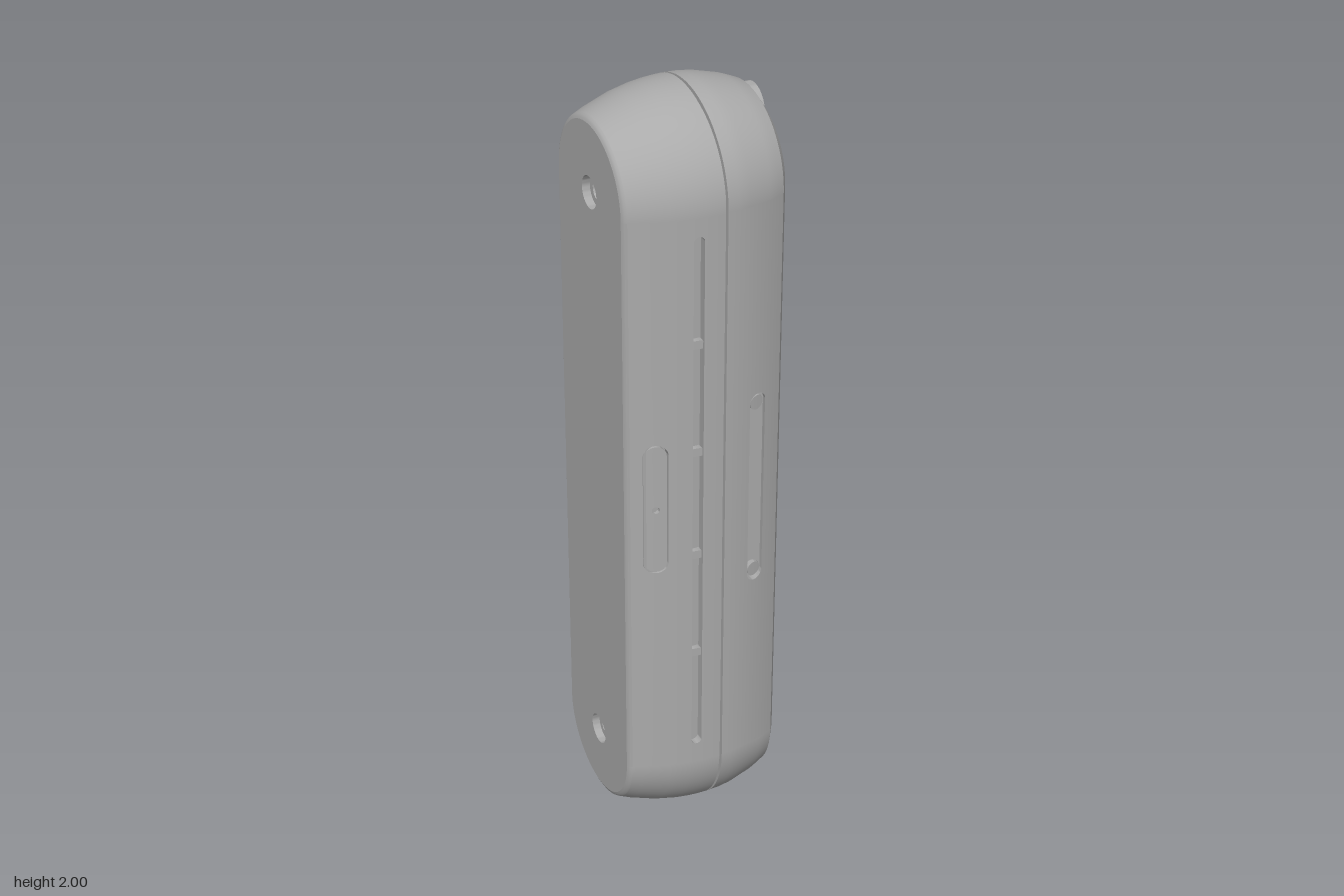
import * as THREE from 'three';
import { mergeGeometries, toCreasedNormals } from 'three/addons/utils/BufferGeometryUtils.js';

const Y0 = 0.234, Y1 = 1.766; // centres of the rounded ends
const FRONT = 0, BACK = Math.PI, LEFT = -Math.PI / 2, RIGHT = Math.PI / 2; // rotation.y turning local +z to each side; -x end is LEFT here

// Half thickness of the body at a given x
function radius(x) {
  if (x < -0.2) return 0.1832 - 0.013 * ((-0.2 - x) / 0.01) ** 2;
  if (x < 0.0235) return 0.234 - 1.05 * (0.02 - x) ** 2;
  const r = (t) => 0.234 - 1.5 * (t - 0.027) ** 2;
  return x <= 0.187 ? r(x) : r(0.187) - (x - 0.187) * 1.55;
}

// Counter-clockwise rounded rectangle; also makes pills and circles
function rr(cx, cy, w, h, r = Math.min(w, h) / 2, n = 10) {
  const pts = [];
  [[1, 1], [-1, 1], [-1, -1], [1, -1]].forEach(([sx, sy], q) => {
    for (let i = 0; i <= n; i++) {
      const a = (q + i / n) * Math.PI / 2;
      pts.push(new THREE.Vector2(cx + sx * (w / 2 - r) + r * Math.cos(a), cy + sy * (h / 2 - r) + r * Math.sin(a)));
    }
  });
  return pts.filter((p, i) => p.distanceTo(pts[(i + 1) % pts.length]) > 1e-6);
}
const circle = (cx, cy, r) => rr(cx, cy, 2 * r, 2 * r, r);
const stadium = (r) => rr(0, 1, 2 * r, Y1 - Y0 + 2 * r, r, 24);
const rect = (u0, u1) => [[u0, Y0], [u1, Y0], [u1, Y1], [u0, Y1]].map(([x, y]) => new THREE.Vector2(x, y));

// Wall between two matching outlines at depths given by functions of u
function loft(ptsA, fa, ptsB, fb) {
  const v = [];
  ptsA.forEach((a, i) => {
    const j = (i + 1) % ptsA.length, b = ptsA[j], c = ptsB[i], d = ptsB[j];
    const A = [a.x, a.y, fa(a.x)], B = [b.x, b.y, fa(b.x)], C = [c.x, c.y, fb(c.x)], D = [d.x, d.y, fb(d.x)];
    v.push(...A, ...B, ...D, ...A, ...D, ...C);
  });
  const g = new THREE.BufferGeometry();
  g.setAttribute('position', new THREE.Float32BufferAttribute(v, 3));
  return toCreasedNormals(g, 0.6);
}

// Face following depth f(u), with recessed pockets that may hold further pockets
function plate(pts, f, pockets = []) {
  const shape = new THREE.Shape(pts);
  shape.holes = pockets.map((p) => new THREE.Path(p.pts));
  const g = new THREE.ShapeGeometry(shape).toNonIndexed();
  g.deleteAttribute('uv');
  const us = pts.map((p) => p.x), u0 = Math.min(...us), u1 = Math.max(...us);
  const pos = g.attributes.position, nor = g.attributes.normal, n = new THREE.Vector3();
  for (let i = 0; i < pos.count; i++) {
    const u = pos.getX(i), a = Math.max(u0, u - 1e-3), b = Math.min(u1, u + 1e-3);
    pos.setZ(i, f(u));
    n.set(-(f(b) - f(a)) / (b - a), 0, 1).normalize();
    nor.setXYZ(i, n.x, n.y, n.z);
  }
  const out = [g];
  for (const p of pockets) {
    const w = f((Math.min(...p.pts.map((q) => q.x)) + Math.max(...p.pts.map((q) => q.x))) / 2) - p.depth;
    out.push(loft(p.pts, f, p.pts, () => w), ...plate(p.pts, () => w, p.inner));
  }
  return out;
}

// Raised solid from depth w0 up to surface f
const solid = (pts, w0, f, pockets) => [loft(pts, () => w0, pts, f), ...plate(pts, f, pockets)];

// Straight wall made of narrow strips; each pocket lies in one strip
function wall(edges, f, pockets = []) {
  return edges.slice(1).flatMap((b, i) => plate(rect(edges[i], b), f,
    pockets.filter((p) => p.pts[0].x > edges[i] && p.pts[0].x < b)));
}

// Half-round end caps, top and bottom
function ends(edges, f) {
  const profile = edges.map((x) => new THREE.Vector2(f(x), x));
  return [[0, Y0], [Math.PI, Y1]].map(([start, y]) => {
    const g = new THREE.LatheGeometry(profile, 36, start, Math.PI).toNonIndexed();
    g.deleteAttribute('uv');
    return g.rotateZ(-Math.PI / 2).translate(0, y, 0);
  });
}

export function createModel() {
  const root = new THREE.Group();
  root.name = 'handheldDevice';
  const grey = new THREE.MeshStandardMaterial({ color: 0xaaaaaa });
  grey.name = 'grey';
  const add = (name, geos, rot = FRONT) => {
    const m = new THREE.Mesh(mergeGeometries(geos), grey);
    m.name = name;
    m.rotation.y = rot;
    root.add(m);
  };
  const back = (u) => radius(-u);
  const mirror = (e) => e.map((x) => -x).reverse();

  // Shell ends and walls
  const rim = [-0.21, -0.208, -0.205, -0.2];
  const left = [-0.2, -0.175, -0.11, -0.06, -0.025, 0, 0.02];
  const right = [0.027, 0.055, 0.085, 0.145, 0.17, 0.187];
  const chamfer = [0.187, 0.208], seam = [0.02, 0.027];
  const pill = rr(-0.143, 1.005, 0.058, 0.36);
  const frontPockets = [
    { pts: pill, depth: 0.008 },
    { pts: rr(-0.043, 1.005, 0.026, 1.43), depth: 0.02 },
    { pts: rr(0.117, 1.005, 0.046, 0.53), depth: 0.018 },
  ];
  const screwHoles = [0.36, 1.655].map((y) => ({
    pts: circle(-0.104, y, 0.018), depth: 0.012, inner: [{ pts: circle(-0.104, y, 0.011), depth: 0.02 }],
  }));
  const core = () => 0.222;
  for (const [name, e] of [['leftRim', rim], ['leftShell', left], ['rightShell', right], ['rightChamfer', chamfer]]) {
    add(name + 'Ends', ends(e, radius));
    add(name + 'Front', wall(e, radius, frontPockets));
    if (e !== left) add(name + 'Back', wall(mirror(e), back, e === right ? screwHoles : []));
  }
  add('leftShellBack', [...wall([0.16, 0.18, 0.2], back), ...wall([-0.02, -0.011], back)], BACK);
  for (const m of root.children) if (m.name.endsWith('Back')) m.rotation.y = BACK;

  // Seam groove around the middle
  add('seamEnds', ends(seam, core));
  add('seamFront', wall(seam, core));
  add('seamBack', wall(mirror(seam), core), BACK);
  add('seamLeftWall', plate(stadium(0.234), () => 0.02), RIGHT);
  add('seamRightWall', plate(stadium(0.234), () => -0.027), LEFT);

  // Flat side with two mounting holes
  add('sideFace', plate(stadium(radius(-0.21)), () => 0.21, [Y0, Y1].map((y) => ({
    pts: circle(0, y, 0.04), depth: 0.02, inner: [{ pts: circle(0, y, 0.024), depth: 0.03 }],
  }))), LEFT);

  // Opposite side with inset panel and finger tab
  add('panelFrame', plate(stadium(radius(0.208)), () => 0.208, [{ pts: stadium(0.157), depth: 0.01 }]), RIGHT);
  add('panel', solid(stadium(0.148), 0.195, () => 0.207), RIGHT);
  add('panelTab', solid(circle(0, 1.9, 0.058), 0.175, () => 0.2085), RIGHT);

  // Front button, slot ribs and round stops
  add('frontButton', solid(rr(-0.143, 1.005, 0.05, 0.352), 0.19, radius,
    [{ pts: circle(-0.143, 1.005, 0.009), depth: 0.012 }]));
  for (const y of [0.57, 0.86, 1.15, 1.44]) {
    add('slotRib', solid(rr(-0.043, y, 0.026, 0.022, 0.002, 2), 0.2, (u) => radius(u) - 0.006));
  }
  for (const y of [0.768, 1.242]) {
    add('slotStop', solid(circle(0.117, y, 0.019), 0.195, (u) => radius(u) - 0.006));
  }

  // Flat connector block on the back with a flared base
  const H = 0.235;
  const outline = (o) => rr(0.079, 1, 0.198 + 2 * o, 1.53 + 2 * o, 0.008 + o, 5);
  const slots = [0.565, 1.445].map((y) => ({ pts: rr(0.04, y, 0.026, 0.55), depth: 0.02 }));
  const pins = [0.295, 0.535].map((y) => ({ pts: circle(0.106, y, 0.015), depth: 0.015 }));
  add('backBlock', plate(outline(0), () => H, [
    ...slots, ...pins,
    { pts: circle(0.045, 1, 0.055), depth: 0.012, inner: [{ pts: circle(0.045, 1, 0.047), depth: 0.09 }] },
    { pts: rr(0.106, 0.413, 0.052, 0.165), depth: 0.01, inner: [{ pts: rr(0.106, 0.413, 0.036, 0.145), depth: 0.03 }] },
    { pts: rr(0.142, 1.42, 0.005, 0.63), depth: 0.006 },
  ]), BACK);
  const flare = [[0.028, 0.178], [0.014, 0.186], [0.005, 0.195], [0, 0.208], [0, H]];
  add('backBlockSides', flare.slice(1).map(([o, w], i) =>
    loft(outline(flare[i][0]), () => flare[i][1], outline(o), () => w)), BACK);
  add('portTongue', solid(rr(0.106, 0.413, 0.012, 0.11, 0.003, 2), 0.195, () => 0.22), BACK);
  for (const y of [0.57, 1.44]) add('backSlotRib', solid(rr(0.04, y, 0.026, 0.022, 0.002, 2), 0.21, () => 0.228), BACK);

  return root;
}
